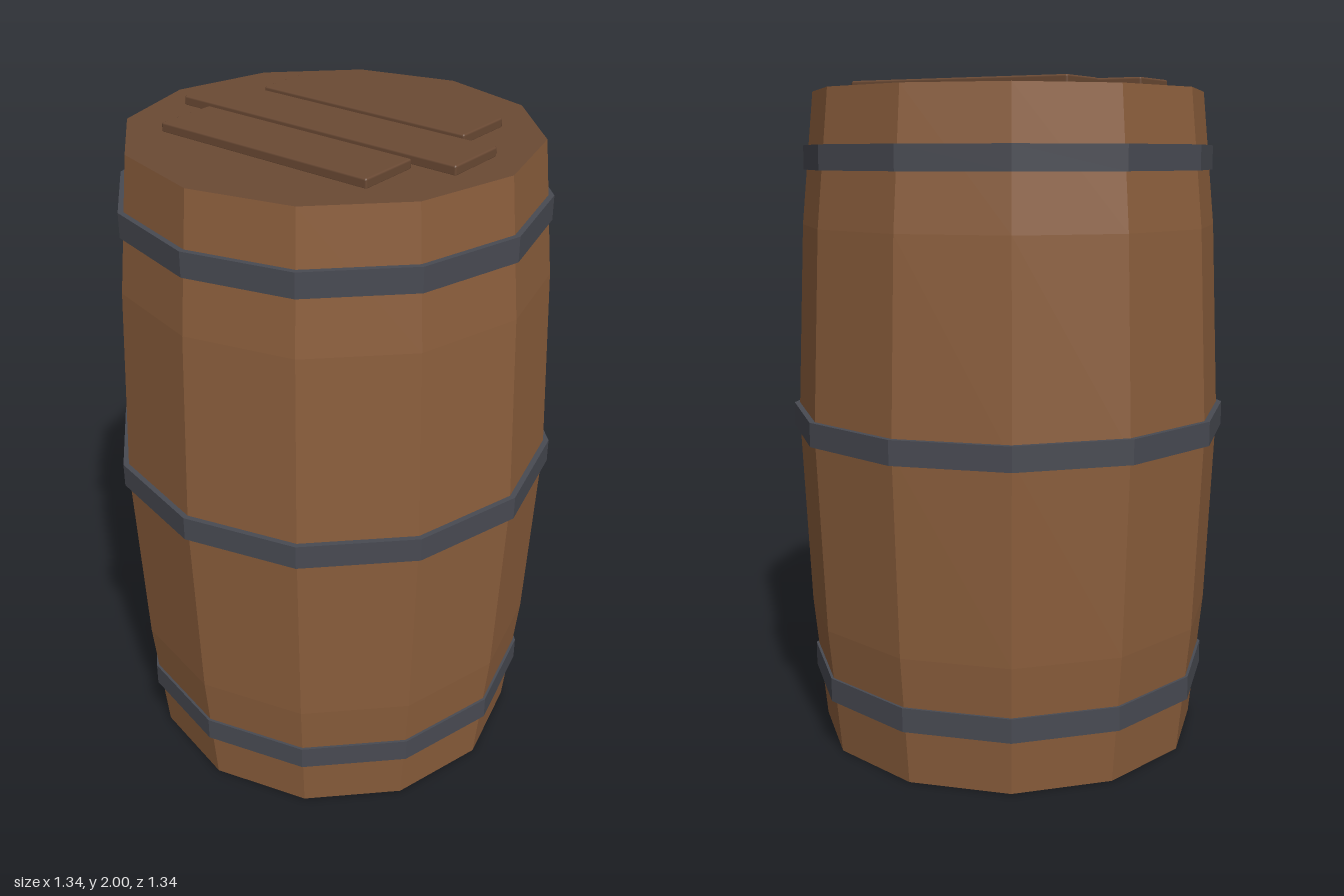
import * as THREE from 'three';
import { RoundedBoxGeometry } from 'three/addons/geometries/RoundedBoxGeometry.js';

const SIDES = 12;
const HEIGHT = 1.974;
const END_RADIUS = 0.588;

function material(name, color) {
  const m = new THREE.MeshStandardMaterial({ color });
  m.name = name;
  return m;
}

// Faceted lathe: unshared corners give every facet its own flat normal
function facetedLathe(points) {
  const profile = points.map(([r, y]) => new THREE.Vector2(r, y));
  const geometry = new THREE.LatheGeometry(profile, SIDES).toNonIndexed();
  geometry.computeVertexNormals();
  return geometry;
}

export function createModel() {
  const group = new THREE.Group();
  group.name = 'barrel';
  const wood = material('wood', 0x8b5e3c);
  const darkWood = material('darkWood', 0x6b4a34);
  const iron = material('iron', 0x484a52);

  function add(name, geometry, mat, x = 0, y = 0, z = 0) {
    const mesh = new THREE.Mesh(geometry, mat);
    mesh.name = name;
    mesh.position.set(x, y, z);
    group.add(mesh);
    return mesh;
  }

  // Bulging staves
  add('staves', facetedLathe([
    [END_RADIUS, 0], [0.627, 0.39], [0.653, 0.987], [0.627, 1.58], [END_RADIUS, HEIGHT],
  ]), wood);

  // Lid and base discs
  const disc = new THREE.CircleGeometry(END_RADIUS, SIDES);
  add('lid', disc, darkWood, 0, HEIGHT).rotation.x = -Math.PI / 2;
  add('base', disc, darkWood).rotation.x = Math.PI / 2;

  // Iron hoops: straight bands with a closed rectangular section
  const hoops = [['lowerHoop', 0.203, 0.62], ['middleHoop', 0.992, 0.668], ['upperHoop', 1.78, 0.62]];
  for (const [name, y, r] of hoops) {
    const h = 0.036, inner = r - 0.04;
    add(name, facetedLathe([[inner, -h], [r, -h], [r, h], [inner, h], [inner, -h]]), iron, 0, y);
  }

  // Three raised planks on the lid
  const planks = [['rightPlank', -0.215, 0.71], ['centrePlank', 0, 0.95], ['leftPlank', 0.215, 0.71]];
  for (const [name, x, length] of planks) {
    add(name, new RoundedBoxGeometry(0.192, 0.03, length, 1, 0.006), darkWood, x, 1.985);
  }

  return group;
}
